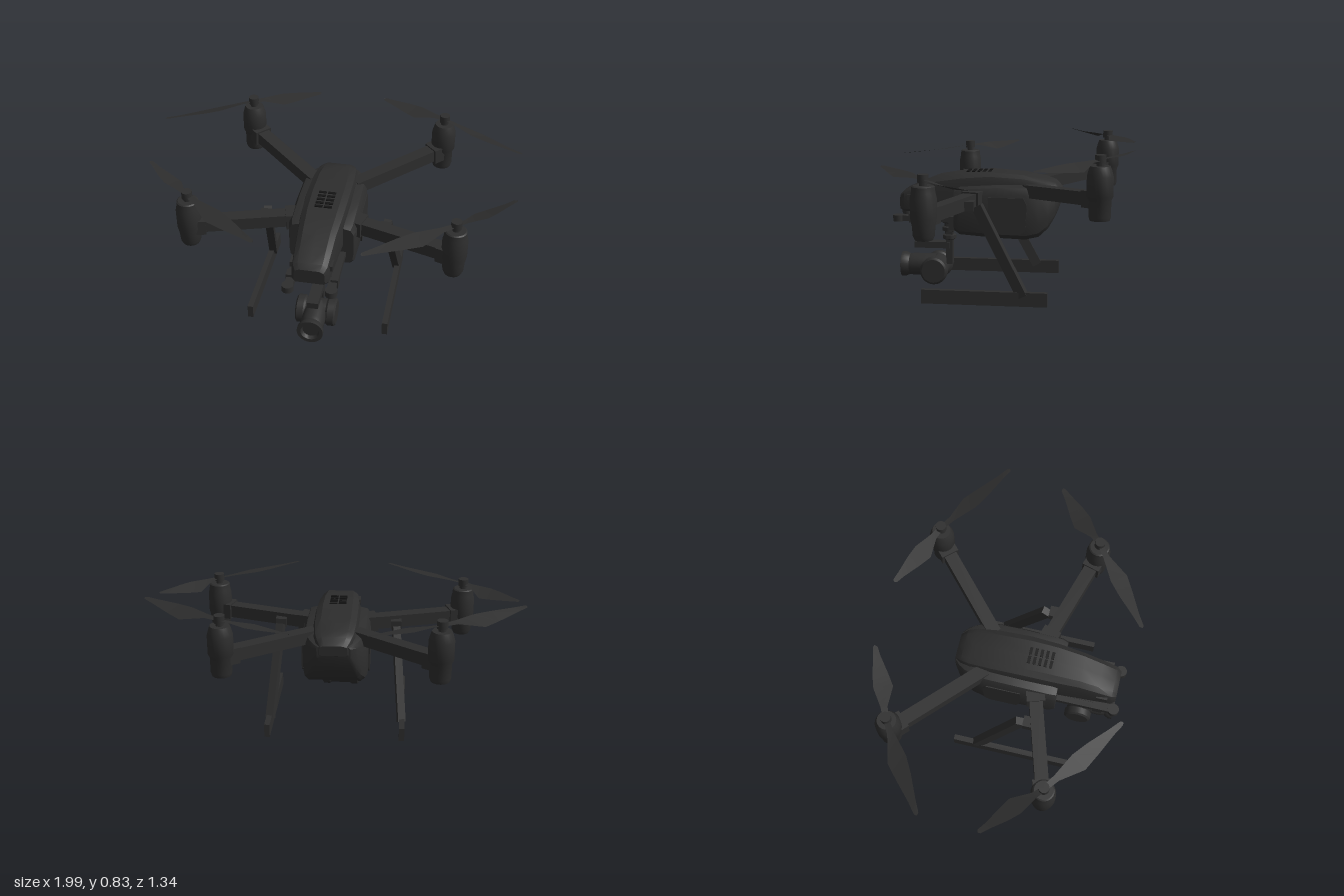
import * as THREE from 'three';
import { toCreasedNormals } from 'three/addons/utils/BufferGeometryUtils.js';

const shell = new THREE.MeshStandardMaterial({ color: 0x2d2d2d });
shell.name = 'charcoal shell';
const blade = new THREE.MeshStandardMaterial({ color: 0x2d2d2d, side: THREE.DoubleSide });
blade.name = 'charcoal blade';
const dark = new THREE.MeshStandardMaterial({ color: 0x141414 });
dark.name = 'vent black';

const V = (x, y, z) => new THREE.Vector3(x, y, z);

function add(group, name, geo, mat = shell, pos = [0, 0, 0]) {
  const m = new THREE.Mesh(geo, mat);
  m.name = name;
  m.position.set(...pos);
  group.add(m);
  return m;
}

const box = (g, name, size, pos, mat = shell) => add(g, name, new THREE.BoxGeometry(...size), mat, pos);

// Box running from a to b, w wide and h high
function beam(g, name, a, b, w, h) {
  const m = add(g, name, new THREE.BoxGeometry(w, h, a.distanceTo(b)));
  m.position.copy(a).lerp(b, 0.5);
  m.lookAt(b);
  return m;
}

// Turned part; profile is [radius, y] from bottom to top
const turned = (pts, seg = 24) =>
  toCreasedNormals(new THREE.LatheGeometry(pts.map(p => new THREE.Vector2(...p)), seg), 0.6);

// Closed loft through chamfered sections [z, halfWidth, top, bottom], front to back
function loft(sections, half) {
  const pos = [], idx = [];
  const ring = [...half, ...half.slice(1, -1).reverse().map(([u, v]) => [-u, v])];
  const n = ring.length;
  for (const [z, w, top, bot] of sections)
    for (const [u, v] of ring) pos.push(u * w, bot + v * (top - bot), z);
  for (let i = 0; i < sections.length - 1; i++)
    for (let j = 0; j < n; j++) {
      const k = (j + 1) % n, a = i * n + j, b = i * n + k;
      idx.push(a, b, b + n, a, b + n, a + n);
    }
  const last = (sections.length - 1) * n;
  for (let j = 1; j < n - 1; j++) idx.push(0, j + 1, j, last, last + j, last + j + 1);
  const g = new THREE.BufferGeometry();
  g.setAttribute('position', new THREE.Float32BufferAttribute(pos, 3));
  g.setIndex(idx);
  return toCreasedNormals(g, 0.5);
}

// Thin blade along (dx, dz): leading edge level, trailing bulge dipped
function bladeGeometry(dx, dz, side, dip) {
  const len = Math.hypot(dx, dz), ux = dx / len, uz = dz / len;
  const rows = [[0, 0.014, 0.014, 0], [0.16, 0.018, 0.018, 0.1], [0.42, 0.04, 0.06, 1],
    [0.6, 0.035, 0.045, 0.75], [0.85, 0.018, 0.02, 0.3], [0.98, 0.012, 0.012, 0], [1, 0.004, 0.004, 0]];
  const pos = [], idx = [];
  rows.forEach(([t, lead, trail, d], i) => {
    const along = t * len;
    for (const [off, y] of [[lead, 0.004], [-trail, -d * dip]])
      pos.push(ux * along - uz * off * side, y, uz * along + ux * off * side);
    if (i) { const a = i * 2; idx.push(a - 2, a - 1, a + 1, a - 2, a + 1, a); }
  });
  const g = new THREE.BufferGeometry();
  g.setAttribute('position', new THREE.Float32BufferAttribute(pos, 3));
  g.setIndex(idx);
  g.computeVertexNormals();
  return g;
}

// Motor pod, shaft and two blades
function rotor(name, s, center, tips, dips, flip) {
  const g = new THREE.Group();
  g.name = name;
  g.position.copy(center);
  const profile = flip
    ? [[0, 0], [0.05, 0], [0.056, 0.02], [0.056, 0.1], [0.066, 0.12], [0.066, 0.22], [0.056, 0.255], [0.05, 0.27], [0, 0.27]]
    : [[0, 0], [0.045, 0], [0.054, 0.02], [0.058, 0.07], [0.066, 0.11], [0.066, 0.21], [0.06, 0.235], [0.057, 0.265], [0.05, 0.27], [0, 0.27]];
  add(g, 'motorPod', turned(profile));
  add(g, 'propellerShaft', turned([[0.02, 0.26], [0.02, 0.285], [0.028, 0.285], [0.028, 0.325], [0, 0.325]], 16));
  tips.forEach(([x, z], i) =>
    add(g, 'propellerBlade', bladeGeometry(s * x, z, s, dips[i]), blade, [0, 0.298, 0]));
  return g;
}

export function createModel() {
  const model = new THREE.Group();
  model.name = 'quadcopter';

  // Body shells
  const hullHalf = [[0, 1], [0.6, 1], [0.9, 0.95], [1, 0.82], [1, 0.25], [0.97, 0.08], [0.85, 0], [0, 0]];
  add(model, 'hull', loft([
    [0.29, 0.172, 0.575, 0.35], [0.26, 0.18, 0.59, 0.33], [0.05, 0.182, 0.605, 0.315],
    [-0.1, 0.18, 0.605, 0.31], [-0.17, 0.168, 0.6, 0.325], [-0.22, 0.145, 0.59, 0.37],
    [-0.255, 0.12, 0.58, 0.43], [-0.28, 0.09, 0.57, 0.5]], hullHalf));
  const canopyHalf = [[0, 1], [0.66, 1], [0.92, 0.88], [1, 0.66], [1, 0.1], [0.9, 0], [0, 0]];
  add(model, 'canopy', loft([
    [0.605, 0.08, 0.53, 0.45], [0.58, 0.096, 0.555, 0.44], [0.5, 0.102, 0.59, 0.44],
    [0.4, 0.108, 0.63, 0.44], [0.25, 0.12, 0.655, 0.45], [0.1, 0.124, 0.662, 0.5],
    [-0.08, 0.122, 0.65, 0.5], [-0.2, 0.112, 0.627, 0.5], [-0.25, 0.098, 0.61, 0.5],
    [-0.285, 0.075, 0.575, 0.52]], canopyHalf));

  // Cooling vents on the canopy
  for (let i = 0; i < 5; i++)
    for (const s of [1, -1])
      box(model, 'vent', [0.042, 0.008, 0.016], [s * 0.025, 0.6605 - i * 0.0008, 0.11 + i * 0.03], dark);

  // Tray under the nose, carrying the gimbal
  box(model, 'trayPlate', [0.2, 0.03, 0.24], [0, 0.408, 0.38]);
  box(model, 'noseUnderside', [0.15, 0.04, 0.26], [0, 0.43, 0.42]);
  box(model, 'frontBlock', [0.22, 0.06, 0.06], [0, 0.37, 0.3]);

  for (const s of [1, -1]) {
    // Tray rails with rounded tips
    box(model, 'trayRail', [0.045, 0.03, 0.33], [s * 0.11, 0.406, 0.45]);
    add(model, 'railTip', new THREE.CylinderGeometry(0.031, 0.031, 0.034, 20), shell, [s * 0.113, 0.406, 0.606]);
    box(model, 'railBracket', [0.04, 0.05, 0.05], [s * 0.117, 0.41, 0.52]);
    // Nose sensor and side panel
    box(model, 'noseSensor', [0.02, 0.03, 0.06], [s * 0.1, 0.52, 0.53]);
    const panel = new THREE.Shape([[-0.1, 0.36], [-0.07, 0.34], [0.08, 0.34], [0.1, 0.4], [0.1, 0.54], [-0.09, 0.54], [-0.11, 0.5]]
      .map(([z, y]) => new THREE.Vector2(-s * z, y)));
    const panelMesh = add(model, 'sidePanel',
      new THREE.ExtrudeGeometry(panel, { depth: 0.008, bevelEnabled: false }), shell, [s * 0.178, 0, 0]);
    panelMesh.rotation.y = s * Math.PI / 2;

    // Front arm, socket, collar and rotor
    const fa = V(s * 0.12, 0.53, 0.165), fb = V(s * 0.7, 0.53, 0.34);
    beam(model, 'frontArm', fa, fb, 0.072, 0.07);
    beam(model, 'frontArmSocket', fa, fa.clone().lerp(fb, 0.16), 0.1, 0.085);
    beam(model, 'frontMotorCollar', fa.clone().lerp(fb, 0.86), fb, 0.1, 0.085);
    model.add(rotor('frontRotor', s, V(s * 0.7, 0.415, 0.34),
      [[0.288, -0.27], [-0.432, 0.318]], [0.03, 0.012], false));

    // Rear arm, collar and rotor
    const ra = V(s * 0.11, 0.57, -0.11), rb = V(s * 0.55, 0.61, -0.51);
    beam(model, 'rearArm', ra, rb, 0.072, 0.068);
    beam(model, 'rearMotorCollar', ra.clone().lerp(rb, 0.86), rb, 0.1, 0.085);
    model.add(rotor('rearRotor', s, V(s * 0.552, 0.505, -0.512),
      [[0.44, 0.28], [-0.366, -0.16]], [0.03, 0.012], true));

    // Landing gear
    beam(model, 'legStrut', V(s * 0.325, 0.52, 0.135), V(s * 0.367, 0.05, -0.11), 0.042, 0.055);
    box(model, 'legClamp', [0.06, 0.05, 0.1], [s * 0.325, 0.52, 0.2]);
    box(model, 'landingSkid', [0.03, 0.075, 0.67], [s * 0.37, 0.0375, 0.095]);
  }

  // Gimbal damper column and bracket
  add(model, 'damperColumn', turned([
    [0.03, 0.27], [0.038, 0.275], [0.038, 0.295], [0.025, 0.3], [0.025, 0.315], [0.04, 0.32],
    [0.04, 0.34], [0.028, 0.345], [0.028, 0.36], [0.04, 0.365], [0.04, 0.395]]), shell, [0, 0, 0.345]);
  box(model, 'gimbalPost', [0.05, 0.26, 0.036], [0, 0.26, 0.343]);
  box(model, 'gimbalArm', [0.06, 0.035, 0.2], [0, 0.238, 0.44]);

  // Camera: cross barrel with flared ends, lens barrel facing forward
  const barrel = add(model, 'cameraCrossBarrel', turned([
    [0, -0.108], [0.065, -0.108], [0.076, -0.1], [0.076, -0.065], [0.068, -0.055],
    [0.068, 0.055], [0.076, 0.065], [0.076, 0.1], [0.065, 0.108], [0, 0.108]], 28), shell, [0, 0.105, 0.42]);
  barrel.rotation.z = Math.PI / 2;
  const lens = add(model, 'cameraLens', turned([
    [0, 0], [0.062, 0], [0.062, 0.13], [0.058, 0.15], [0.07, 0.175], [0.07, 0.195],
    [0.05, 0.195], [0.042, 0.175], [0, 0.175]], 28), shell, [0, 0.12, 0.42]);
  lens.rotation.x = Math.PI / 2;

  return model;
}
